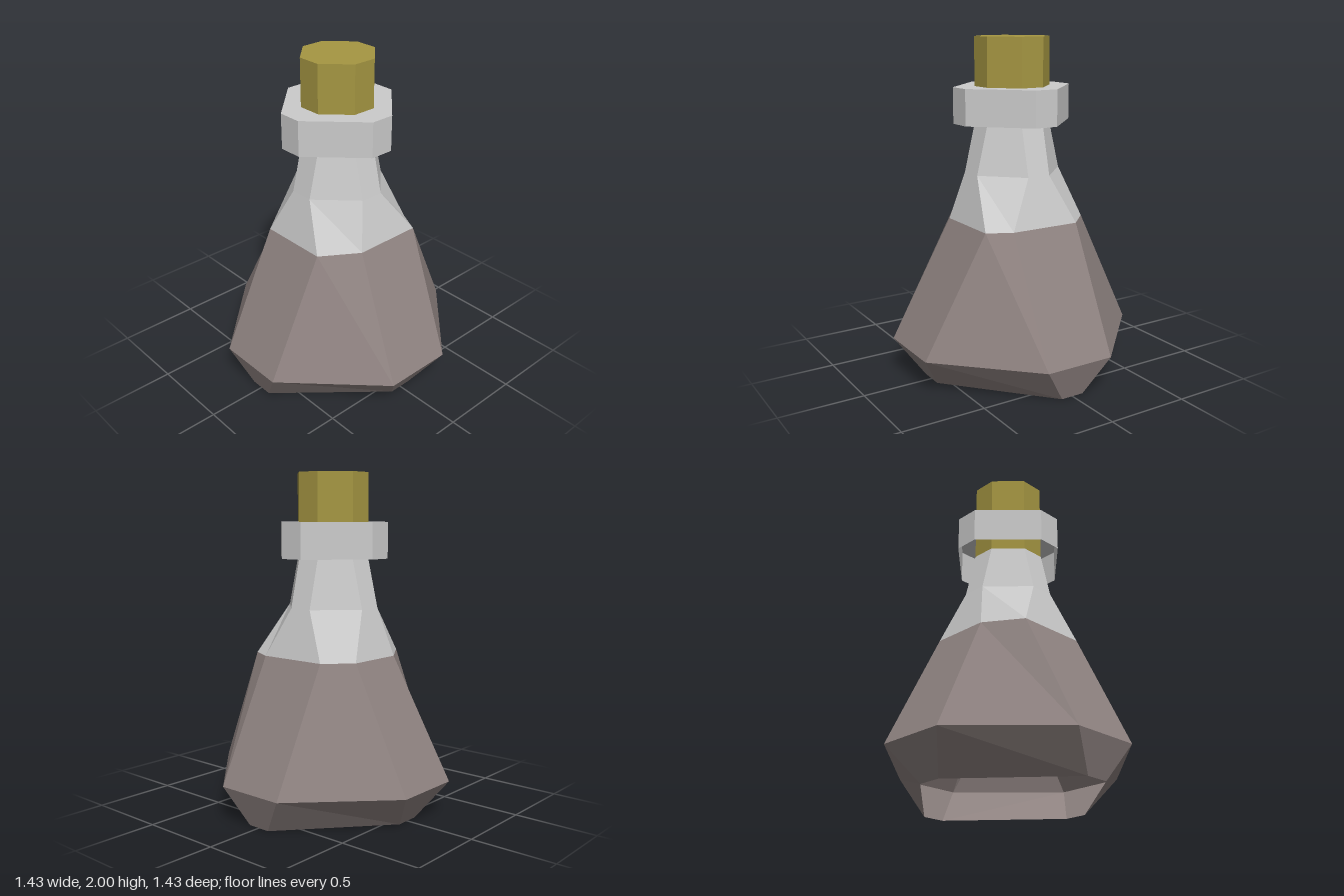
import * as THREE from 'three';

const material = (color) =>
  new THREE.MeshStandardMaterial({ color, flatShading: true, side: THREE.DoubleSide });

// Eight-sided ring: corners run front, right, back, left (counter-clockwise from above).
// w, d: half width and half depth; e: half length of the straight sides.
function ring(y, w, d, e) {
  return [[-e, d], [e, d], [w, e], [w, -e], [e, -d], [-e, -d], [-w, -e], [-w, e]]
    .map(([x, z]) => new THREE.Vector3(x, y, z));
}

// Skin between successive rings, optionally closed at the top
function loft(name, rings, color, capTop = false) {
  const points = [];
  for (let r = 0; r < rings.length - 1; r++) {
    const low = rings[r], high = rings[r + 1];
    for (let i = 0; i < 8; i++) {
      const j = (i + 1) % 8;
      points.push(low[i], low[j], high[i], low[j], high[j], high[i]);
    }
  }
  if (capTop) {
    const top = rings[rings.length - 1];
    for (let i = 1; i < 7; i++) points.push(top[0], top[i], top[i + 1]);
  }
  const geometry = new THREE.BufferGeometry().setFromPoints(points);
  geometry.computeVertexNormals();
  const mesh = new THREE.Mesh(geometry, material(color));
  mesh.name = name;
  return mesh;
}

export function createModel() {
  const group = new THREE.Group();
  group.name = 'bottle';

  // Shoulder ring, slightly uneven on the two sides
  const shoulder = ring(0.93, 0.357, 0.357, 0.215);
  shoulder[2].z = shoulder[7].z = 0.14;
  shoulder[3].z = -0.285;

  // Filled lower part, open underneath
  group.add(loft('filledBody', [
    ring(0, 0.57, 0.64, 0.072),
    ring(0.215, 0.713, 0.713, 0.214),
    shoulder,
  ], 0x8e8280));

  // Clear glass neck
  group.add(loft('neck', [
    shoulder,
    ring(1.215, 0.285, 0.285, 0.072),
    ring(1.505, 0.214, 0.214, 0.072),
  ], 0xcccccc));

  // Collar: outer wall and flat top around the cork
  group.add(loft('collar', [
    ring(1.505, 0.357, 0.357, 0.072),
    ring(1.715, 0.357, 0.357, 0.072),
    ring(1.715, 0.214, 0.214, 0.072),
  ], 0xcccccc));

  // Cork stopper
  group.add(loft('cork', [
    ring(1.505, 0.214, 0.214, 0.072),
    ring(2, 0.214, 0.214, 0.072),
  ], 0xa59642, true));

  return group;
}
